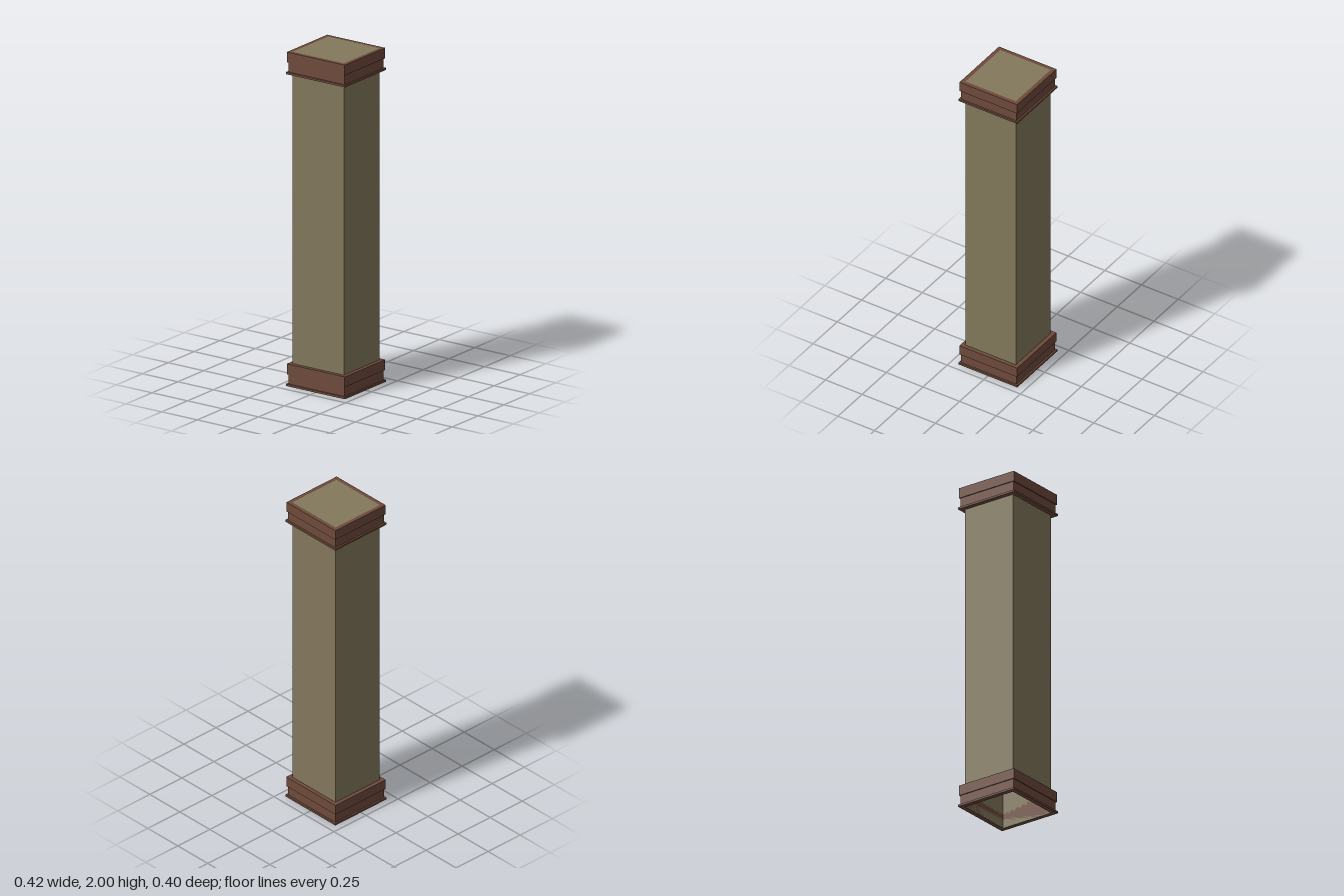
import * as THREE from 'three';

const HALF_X = 0.18, HALF_Z = 0.172, HEIGHT = 2, TRIM_HEIGHT = 0.132;

// Add a rectangle to a shape or hole path
function rect(path, x, z) {
  path.moveTo(-x, -z);
  path.lineTo(x, -z);
  path.lineTo(x, z);
  path.lineTo(-x, z);
  path.closePath();
  return path;
}

// Square ring standing out from the shaft between two heights
function ring(name, outset, y0, y1, material) {
  const shape = rect(new THREE.Shape(), HALF_X + outset, HALF_Z + outset);
  shape.holes.push(rect(new THREE.Path(), HALF_X, HALF_Z));
  const geometry = new THREE.ExtrudeGeometry(shape, { depth: y1 - y0, bevelEnabled: false });
  geometry.rotateX(-Math.PI / 2);
  geometry.translate(0, y0, 0);
  const mesh = new THREE.Mesh(geometry, material);
  mesh.name = name;
  return mesh;
}

// Moulded trim: thin lip, recessed middle, wider upper band
function trim(name, y, material) {
  const group = new THREE.Group();
  group.name = name;
  group.add(
    ring('lip', 0.028, 0, 0.012, material),
    ring('recessedBand', 0.018, 0.012, 0.07, material),
    ring('upperBand', 0.024, 0.07, TRIM_HEIGHT, material)
  );
  group.position.y = y;
  return group;
}

export function createModel() {
  const tan = new THREE.MeshStandardMaterial({ color: 0x83785c, side: THREE.DoubleSide });
  tan.name = 'tan plaster';
  const brown = new THREE.MeshStandardMaterial({ color: 0x6e4a3b });
  brown.name = 'brown wood';

  const model = new THREE.Group();
  model.name = 'squareColumn';

  // Hollow shaft, capped on top and open underneath
  const geometry = new THREE.BoxGeometry(HALF_X * 2, HEIGHT, HALF_Z * 2);
  const index = Array.from(geometry.index.array);
  const bottom = geometry.groups[3];
  index.splice(bottom.start, bottom.count);
  geometry.setIndex(index);
  geometry.clearGroups();
  const shaft = new THREE.Mesh(geometry, tan);
  shaft.name = 'shaft';
  shaft.position.y = HEIGHT / 2;

  model.add(shaft, trim('baseTrim', 0, brown), trim('capitalTrim', HEIGHT - TRIM_HEIGHT, brown));
  return model;
}
